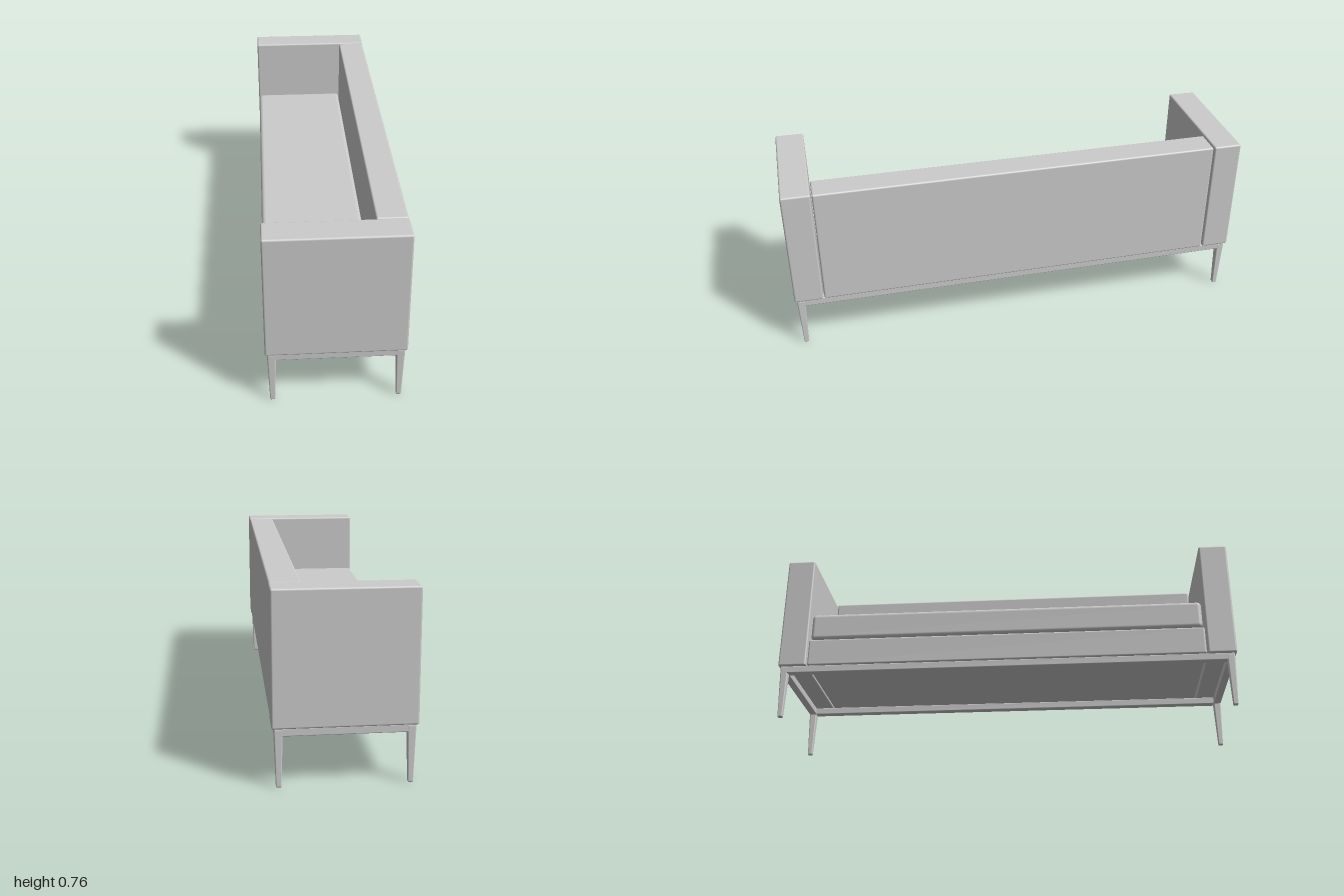
import * as THREE from 'three';
import { RoundedBoxGeometry } from 'three/addons/geometries/RoundedBoxGeometry.js';

const material = new THREE.MeshStandardMaterial({ color: 0xcccccc });

// Rounded block given by its extents on each axis
function block(name, [x0, x1], [y0, y1], [z0, z1], radius) {
  const geometry = new RoundedBoxGeometry(x1 - x0, y1 - y0, z1 - z0, 4, radius);
  const mesh = new THREE.Mesh(geometry, material);
  mesh.position.set((x0 + x1) / 2, (y0 + y1) / 2, (z0 + z1) / 2);
  mesh.name = name;
  return mesh;
}

// Square leg with softened edges, narrowing towards the floor
function taperedLeg(height, top, bottom) {
  const geometry = new RoundedBoxGeometry(top, height, top, 3, 0.006);
  const p = geometry.attributes.position;
  for (let i = 0; i < p.count; i++) {
    const t = p.getY(i) / height + 0.5;
    const s = THREE.MathUtils.lerp(bottom / top, 1, t);
    p.setX(i, p.getX(i) * s);
    p.setZ(i, p.getZ(i) * s);
  }
  geometry.translate(0, height / 2, 0);
  return geometry;
}

export function createModel() {
  const sofa = new THREE.Group();
  sofa.name = 'sofa';

  // Upholstery: the seat opens towards -x, the backrest is on +x
  sofa.add(block('backrest', [0.152, 0.274], [0.235, 0.76], [-0.872, 0.872], 0.008));
  sofa.add(block('seatBase', [-0.272, 0.15], [0.235, 0.36], [-0.872, 0.872], 0.008));
  sofa.add(block('seatCushion', [-0.274, 0.148], [0.36, 0.485], [-0.866, 0.866], 0.018));
  for (const side of [-1, 1]) {
    const z = [side * 0.877, side * 1].sort((a, b) => a - b);
    sofa.add(block(side > 0 ? 'leftArm' : 'rightArm', [-0.276, 0.276], [0.235, 0.762], z, 0.008));
  }

  // Underside panel inside the frame
  sofa.add(block('bottomPanel', [-0.2, 0.2], [0.226, 0.24], [-0.86, 0.86], 0.003));

  // Frame rails and corner legs
  const frame = new THREE.Group();
  frame.name = 'frame';
  const legGeometry = taperedLeg(0.232, 0.035, 0.02);
  for (const s of [-1, 1]) {
    const x = [s * 0.25 - 0.0165, s * 0.25 + 0.0165];
    const z = [s * 0.973 - 0.0165, s * 0.973 + 0.0165];
    frame.add(block('longRail', x, [0.204, 0.236], [-0.9895, 0.9895], 0.004));
    frame.add(block('endRail', [-0.2665, 0.2665], [0.204, 0.236], z, 0.004));
    for (const e of [-1, 1]) {
      const leg = new THREE.Mesh(legGeometry, material);
      leg.position.set(s * 0.25, 0, e * 0.973);
      leg.name = 'leg';
      frame.add(leg);
    }
  }
  sofa.add(frame);
  return sofa;
}
